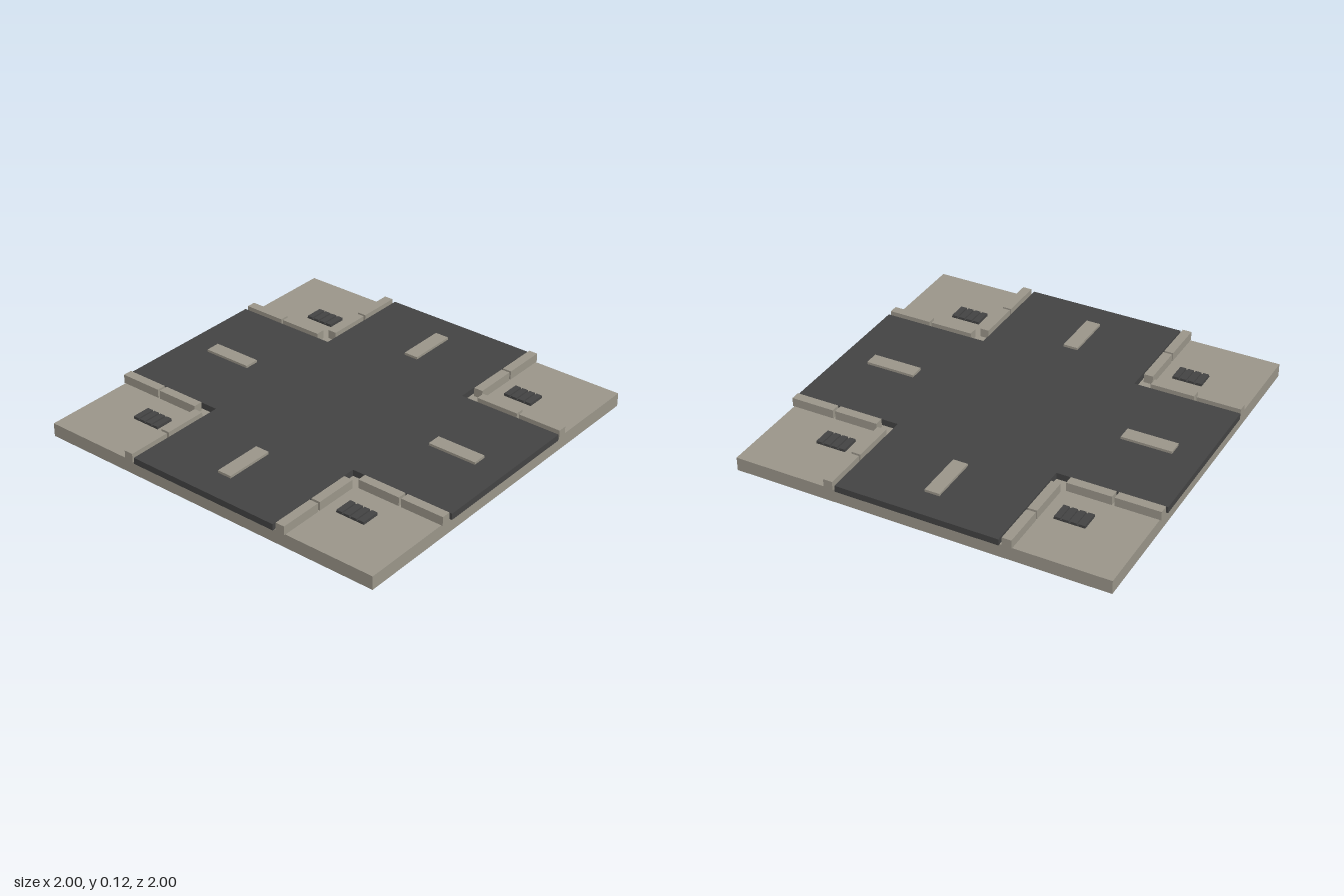
import * as THREE from 'three';

export function createModel() {
  const group = new THREE.Group();
  const stone = new THREE.MeshStandardMaterial({ color: 0x9c978b });
  stone.name = 'warm grey stone';
  const asphalt = new THREE.MeshStandardMaterial({ color: 0x444444 });
  asphalt.name = 'dark asphalt';

  // Box given by its centre in plan, its bottom and top heights
  const box = (name, mat, parent, x, z, w, d, y0, y1) => {
    const mesh = new THREE.Mesh(new THREE.BoxGeometry(w, y1 - y0, d), mat);
    mesh.position.set(x, (y0 + y1) / 2, z);
    mesh.name = name;
    parent.add(mesh);
  };

  const top = 0.072, roadTop = 0.106, curbTop = 0.119;

  // Ground slab
  box('groundSlab', stone, group, 0, 0, 1.976, 1.976, 0, top);

  // Cross-shaped road
  const a = 0.43;
  const cross = new THREE.Shape([
    [-a, -1], [a, -1], [a, -a], [1, -a], [1, a], [a, a],
    [a, 1], [-a, 1], [-a, a], [-1, a], [-1, -a], [-a, -a],
  ].map(([x, y]) => new THREE.Vector2(x, y)));
  const roadGeo = new THREE.ExtrudeGeometry(cross, { depth: roadTop - top, bevelEnabled: false });
  roadGeo.rotateX(-Math.PI / 2).translate(0, top, 0);
  const road = new THREE.Mesh(roadGeo, asphalt);
  road.name = 'road';
  group.add(road);

  // Lane dashes, one on each arm
  for (const s of [-1, 1]) {
    box('laneDash', stone, group, 0, s * 0.71, 0.078, 0.268, roadTop, curbTop);
    box('laneDash', stone, group, s * 0.71, 0, 0.268, 0.078, roadTop, curbTop);
  }

  // Four corners, each with curb stones and a drain grate
  for (const sx of [-1, 1]) for (const sz of [-1, 1]) {
    const corner = new THREE.Group();
    corner.name = 'pavementCorner';
    group.add(corner);
    for (const c of [0.63, 0.878]) {
      box('curbStone', stone, corner, sx * 0.469, sz * c, 0.049, 0.235, top, curbTop);
      box('curbStone', stone, corner, sx * c, sz * 0.469, 0.235, 0.049, top, curbTop);
    }
    const gx = sx * 0.638, gz = sz * 0.66;
    box('drainPlate', asphalt, corner, gx, gz, 0.16, 0.1, top, 0.078);
    for (let i = 0; i < 4; i++)
      box('drainBar', asphalt, corner, gx + (i - 1.5) * 0.042, gz, 0.032, 0.1, 0.078, 0.086);
  }
  return group;
}
